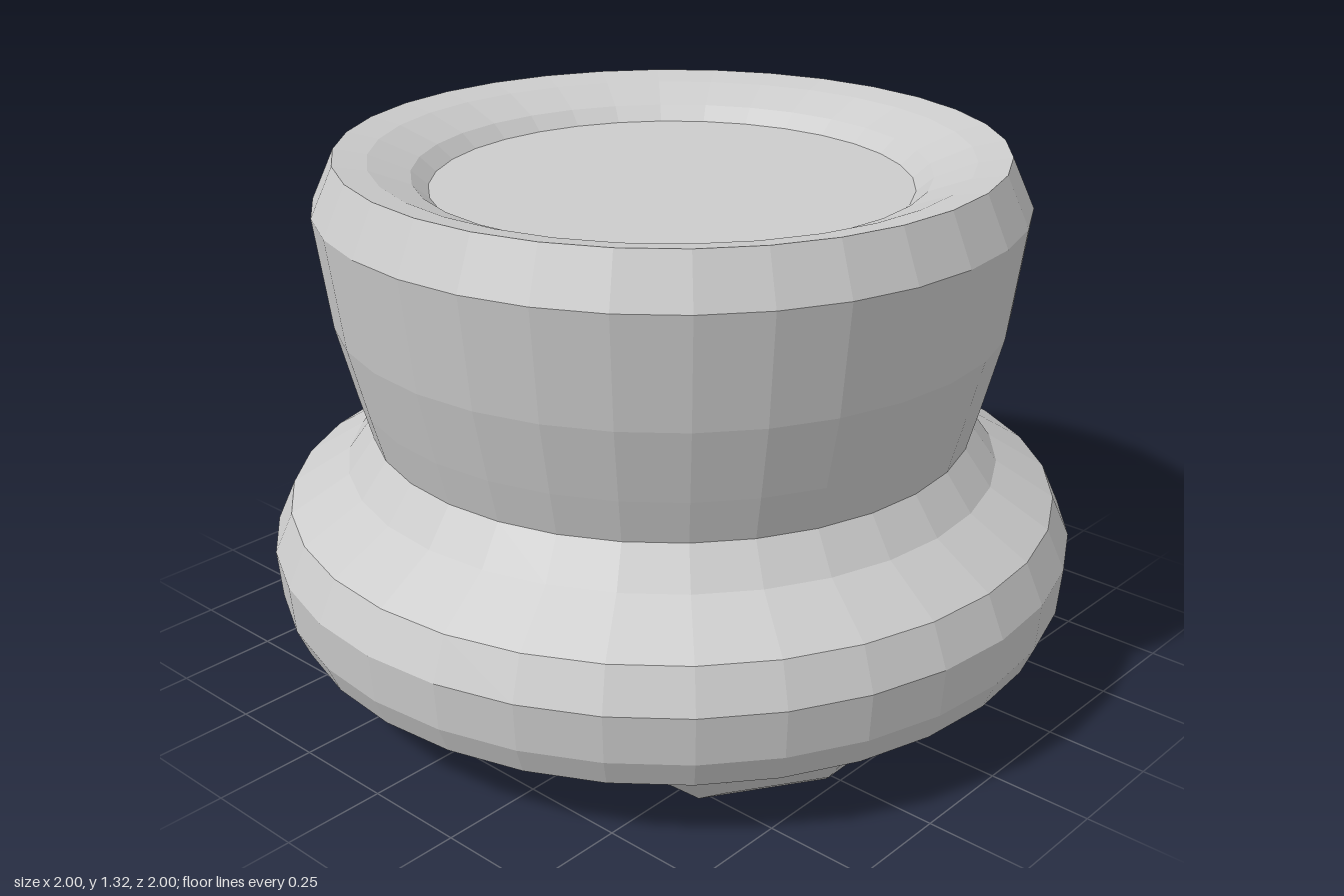
import * as THREE from 'three';
import { ConvexGeometry } from 'three/addons/geometries/ConvexGeometry.js';

const SIDES = 32;

export function createModel() {
  const group = new THREE.Group();
  const material = new THREE.MeshStandardMaterial({ color: 0xcccccc, flatShading: true });

  const add = (name, geometry) => {
    const mesh = new THREE.Mesh(geometry, material);
    mesh.name = name;
    group.add(mesh);
    return mesh;
  };
  // profile points are [radius, height], listed from the underside outward and up
  const lathe = (profile) =>
    new THREE.LatheGeometry(profile.map(([r, y]) => new THREE.Vector2(r, y)), SIDES);

  // bulging base ring with its shallow underside
  add('base', lathe([
    [0, 0.11], [0.65, 0.12], [0.96, 0.17], [0.99, 0.24], [1, 0.36],
    [0.955, 0.46], [0.81, 0.55], [0.745, 0.64],
  ]));

  // flared cup wall, rounded lip and dished top
  add('cup', lathe([
    [0.745, 0.64], [0.775, 0.75], [0.82, 0.93], [0.855, 1.2], [0.8, 1.32],
    [0.72, 1.305], [0.62, 1.265], [0.58, 1.23], [0, 1.23],
  ]));

  // foot: mirrored points [outward, half width, height]
  const footPoints = [
    [0.94, 0.13, 0.165], [0.9, 0.12, 0.11], [0.82, 0.27, 0.13], [0.8, 0.15, 0.035],
    [0.66, 0.15, 0.005], [0.52, 0.09, 0], [0.45, 0.1, 0.035], [0.42, 0.19, 0.12],
  ];
  // thin wedge that runs inward from the back foot
  const webPoints = [
    [0.62, 0.36, 0.065], [0.45, 0.38, 0.06], [0.0, 0.25, 0.1],
    [0.65, 0.36, 0.13], [0.0, 0.25, 0.13],
  ];
  const mirroredHull = (points) => new ConvexGeometry(points.flatMap(([r, w, y]) => [
    new THREE.Vector3(r, y, w), new THREE.Vector3(r, y, -w),
  ]));

  // three feet evenly spaced round the base
  const firstAngle = THREE.MathUtils.degToRad(33);
  const turn = (i) => -(firstAngle + (i * Math.PI * 2) / 3);
  ['leftFoot', 'rightFoot', 'backFoot'].forEach((name, i) => {
    add(name, mirroredHull(footPoints)).rotation.y = turn(i);
  });
  add('backFootWeb', mirroredHull(webPoints)).rotation.y = turn(2);

  return group;
}
